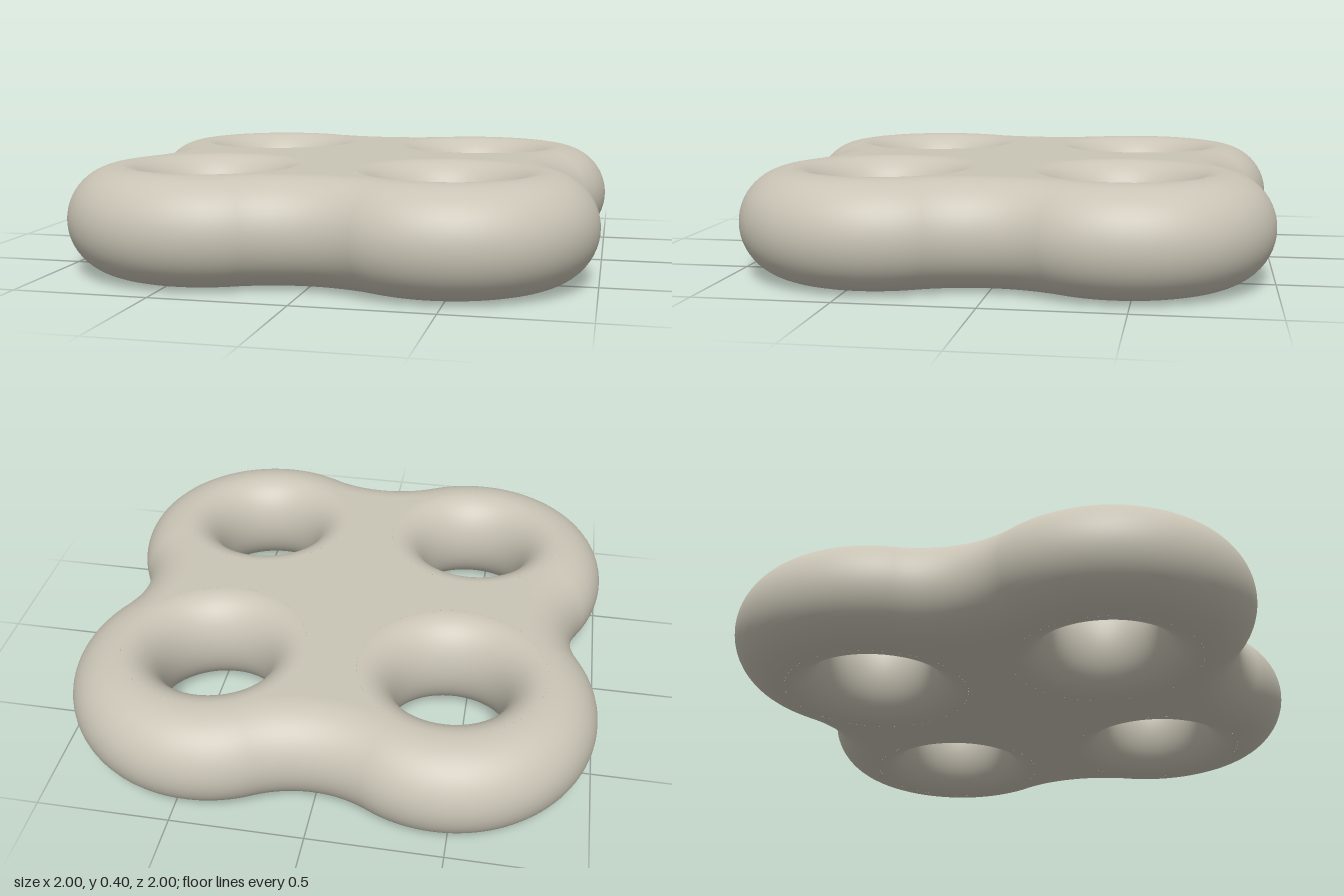
import * as THREE from 'three';

const LOBE = 0.45;        // lobe centre offset on both axes
const OUTER = 0.55;       // lobe radius at mid height
const HOLE = 0.2;         // hole radius at mid height
const WAIST = 0.4;        // radius of the concave arc between lobes
const HALF = 0.2;         // half thickness
const LIP = 0.15;         // radial width of the hole rounding
const WAIST_C = LOBE + Math.sqrt((OUTER + WAIST) ** 2 - LOBE ** 2);
const TAN = Math.atan2(LOBE, WAIST_C - LOBE); // tangent angle where lobe meets waist

// Points on an arc, each with a normal; sign -1 points the normal at the centre
function arc(cx, cy, r, from, to, steps, sign) {
  const pts = [];
  for (let i = 0; i < steps; i++) {
    const t = from + (to - from) * i / steps;
    const c = Math.cos(t), s = Math.sin(t);
    pts.push({ x: cx + r * c, y: cy + r * s, nx: sign * c, ny: sign * s });
  }
  return pts;
}

// Four lobes joined by four waists, counter-clockwise; lobeArc makes each lobe's part
function outline(lobeArc, waistRadius) {
  const pts = [];
  for (let k = 0; k < 4; k++) {
    const q = k * Math.PI / 2, top = q + Math.PI / 2;
    const a = q + Math.PI / 4, d = LOBE * Math.SQRT2;
    pts.push(...lobeArc(d * Math.cos(a), d * Math.sin(a), q - TAN, top + TAN));
    pts.push(...arc(WAIST_C * Math.cos(top), WAIST_C * Math.sin(top), waistRadius,
      top + Math.PI + TAN + (Math.PI / 2 - 2 * TAN) - (Math.PI / 2 - TAN) + (Math.PI / 2 - TAN) - (Math.PI / 2 - 2 * TAN),
      top + Math.PI - TAN, 20, -1));
  }
  return pts;
}

// Rounded wall that follows a closed contour from the bottom face to the top face
function roundedWall(contour, width) {
  const rows = 28, n = contour.length;
  const pos = [], nor = [], idx = [];
  for (let j = 0; j <= rows; j++) {
    const a = -Math.PI / 2 + Math.PI * j / rows;
    const c = Math.cos(a), s = Math.sin(a), inset = width * (1 - c);
    for (const p of contour) {
      pos.push(p.x - p.nx * inset, HALF + HALF * s, -(p.y - p.ny * inset));
      const v = new THREE.Vector3(p.nx * c / width, s / HALF, -p.ny * c / width).normalize();
      nor.push(v.x, v.y, v.z);
    }
  }
  for (let j = 0; j < rows; j++) {
    for (let i = 0; i < n; i++) {
      const a = j * n + i, b = j * n + (i + 1) % n;
      idx.push(a, b, b + n, a, b + n, a + n);
    }
  }
  const g = new THREE.BufferGeometry();
  g.setAttribute('position', new THREE.Float32BufferAttribute(pos, 3));
  g.setAttribute('normal', new THREE.Float32BufferAttribute(nor, 3));
  g.setIndex(idx);
  return g;
}

export function createModel() {
  const group = new THREE.Group();
  group.name = 'fourHolePlate';
  const stone = new THREE.MeshStandardMaterial({ color: 0xc9c4b5 });
  stone.name = 'warmGrey';
  const add = (name, geometry) => {
    const mesh = new THREE.Mesh(geometry, stone);
    mesh.name = name;
    group.add(mesh);
    return mesh;
  };

  // Rounded outer rim around all four lobes
  const rim = outline((cx, cy, a, b) => arc(cx, cy, OUTER, a, b, 48, 1), WAIST);
  add('outerRim', roundedWall(rim, HALF));

  // Rounded walls of the four holes
  for (const sx of [-1, 1]) {
    for (const sy of [-1, 1]) {
      const ring = arc(sx * LOBE, sy * LOBE, HOLE, Math.PI * 2, 0, 72, -1);
      add('holeWall', roundedWall(ring, LIP));
    }
  }

  // Flat faces between the waists and the inner sides of the holes
  const flat = outline(
    (cx, cy, a, b) => arc(cx, cy, HOLE + LIP, a, b - Math.PI * 2, 60, 1), WAIST + HALF);
  const face = new THREE.ShapeGeometry(
    new THREE.Shape(flat.map(p => new THREE.Vector2(p.x, p.y))));
  const top = add('topFace', face);
  top.rotation.x = -Math.PI / 2;
  top.position.y = HALF * 2;
  const bottom = add('bottomFace', face);
  bottom.rotation.x = Math.PI / 2;

  return group;
}
